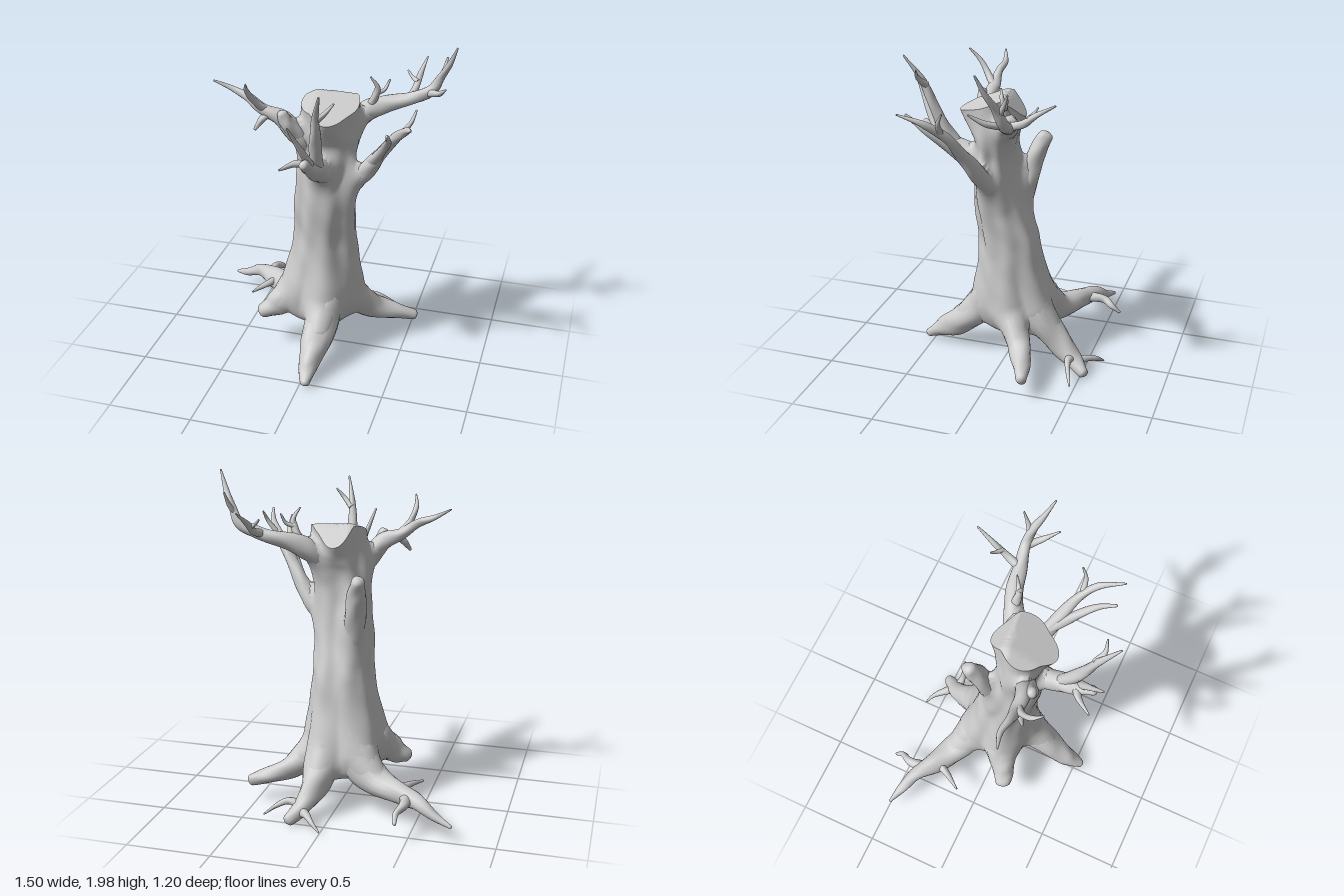
import * as THREE from 'three';

const bark = new THREE.MeshStandardMaterial({ color: 0xcccccc });
const { lerp, clamp, smoothstep } = THREE.MathUtils;

// Skin a list of rings (equal point counts, counter-clockwise around the direction of travel).
function loft(name, rings, closeEnd) {
  const n = rings[0].length, pos = [], idx = [];
  rings.forEach(r => r.forEach(p => pos.push(p.x, p.y, p.z)));
  for (let i = 0; i < rings.length - 1; i++) {
    for (let j = 0; j < n; j++) {
      const a = i * n + j, b = i * n + (j + 1) % n;
      idx.push(a, b, b + n, a, b + n, a + n);
    }
  }
  // a cap with its own vertices keeps a crisp edge
  const cap = (ring, flip) => {
    const start = pos.length / 3;
    const c = ring.reduce((s, p) => s.add(p), new THREE.Vector3()).divideScalar(n);
    [...ring, c].forEach(p => pos.push(p.x, p.y, p.z));
    for (let j = 0; j < n; j++) {
      const a = start + j, b = start + (j + 1) % n;
      if (flip) idx.push(b, a, start + n); else idx.push(a, b, start + n);
    }
  };
  cap(rings[0], true);
  if (closeEnd) cap(rings[rings.length - 1], false);
  const g = new THREE.BufferGeometry();
  g.setAttribute('position', new THREE.Float32BufferAttribute(pos, 3));
  g.setIndex(idx);
  g.computeVertexNormals();
  const m = new THREE.Mesh(g, bark);
  m.name = name;
  return m;
}

// Tapering limb through points [x, y, z, radius].
function limb(name, pts, sides = 16) {
  const curve = new THREE.CatmullRomCurve3(pts.map(p => new THREE.Vector3(p[0], p[1], p[2])));
  const last = pts.length - 1, steps = last * 6, rings = [];
  let N = new THREE.Vector3(0.31, 0.2, 0.93);
  for (let i = 0; i <= steps; i++) {
    const t = i / steps, f = Math.min(t * last, last - 1e-6), k = Math.floor(f);
    const r0 = lerp(pts[k][3], pts[k + 1][3], f - k);
    const c = curve.getPoint(t), T = curve.getTangent(t);
    N = N.clone().addScaledVector(T, -N.dot(T)).normalize();
    const B = T.clone().cross(N);
    const ring = scale => Array.from({ length: sides }, (_, j) => {
      const a = j / sides * Math.PI * 2;
      const r = r0 * scale * (1 + 0.06 * Math.sin(2 * a + i * 0.45) + 0.04 * Math.sin(3 * a - i * 0.7));
      return c.clone().addScaledVector(N, r * Math.cos(a)).addScaledVector(B, r * Math.sin(a));
    });
    rings.push(ring(1));
    // rounded tip
    if (i === steps) {
      [[0.35, 0.85], [0.55, 0.5], [0.62, 0.05]].forEach(([d, s]) =>
        rings.push(ring(s).map(p => p.addScaledVector(T, d * r0))));
    }
  }
  return loft(name, rings, true);
}

// Each limb group: main stem first, then side shoots.
const limbs = {
  frontRoot: [
    [[0.05, 0.66, 0.05, 0.09], [0.05, 0.36, 0.13, 0.11], [0.04, 0.18, 0.31, 0.086], [0.03, 0.095, 0.44, 0.06], [0.04, 0.045, 0.535, 0.026]]],
  leftRoot: [
    [[0.09, 0.6, 0, 0.09], [0.16, 0.36, -0.05, 0.1], [0.29, 0.22, -0.14, 0.072], [0.42, 0.17, -0.2, 0.052], [0.535, 0.135, -0.235, 0.033]]],
  rightFrontRoot: [
    [[-0.04, 0.64, 0, 0.1], [-0.16, 0.4, 0.05, 0.105], [-0.27, 0.285, 0.11, 0.075], [-0.345, 0.245, 0.145, 0.047]]],
  rightBackRoot: [
    [[-0.02, 0.62, -0.05, 0.11], [-0.11, 0.34, -0.16, 0.12], [-0.25, 0.22, -0.235, 0.088], [-0.42, 0.2, -0.33, 0.064], [-0.54, 0.19, -0.41, 0.042], [-0.65, 0.135, -0.455, 0.027], [-0.74, 0.105, -0.49, 0.01]],
    [[-0.46, 0.2, -0.38, 0.035], [-0.465, 0.195, -0.48, 0.026], [-0.435, 0.17, -0.54, 0.018], [-0.44, 0.13, -0.59, 0.01]],
    [[-0.39, 0.21, -0.31, 0.03], [-0.45, 0.21, -0.2, 0.018], [-0.505, 0.2, -0.115, 0.006]]],
  backRoot: [
    [[0.04, 0.66, -0.05, 0.1], [0.08, 0.36, -0.17, 0.12], [0.1, 0.2, -0.31, 0.085], [0.145, 0.1, -0.43, 0.055], [0.205, 0.04, -0.52, 0.034]],
    [[0.16, 0.08, -0.45, 0.035], [0.1, 0.08, -0.51, 0.022], [0.05, 0.06, -0.565, 0.014], [0, 0.025, -0.597, 0.005]],
    [[0.16, 0.1, -0.43, 0.03], [0.23, 0.12, -0.43, 0.02], [0.3, 0.09, -0.45, 0.014], [0.37, 0.04, -0.48, 0.005]]],
  leftUpperBranch: [
    [[0.13, 1.45, 0.03, 0.07], [0.22, 1.55, -0.05, 0.064], [0.33, 1.6, -0.1, 0.05], [0.48, 1.64, -0.13, 0.038], [0.6, 1.7, -0.15, 0.03], [0.65, 1.79, -0.13, 0.023], [0.7, 1.88, -0.09, 0.016], [0.745, 1.99, -0.05, 0.005]],
    [[0.47, 1.64, -0.13, 0.026], [0.49, 1.67, -0.22, 0.021], [0.5, 1.73, -0.3, 0.016], [0.52, 1.8, -0.41, 0.005]],
    [[0.495, 1.7, -0.25, 0.016], [0.46, 1.72, -0.27, 0.01], [0.43, 1.75, -0.29, 0.005]],
    [[0.63, 1.75, -0.14, 0.018], [0.655, 1.81, -0.17, 0.013], [0.67, 1.88, -0.2, 0.005]],
    [[0.58, 1.68, -0.15, 0.024], [0.65, 1.71, -0.07, 0.017], [0.7, 1.765, 0.005, 0.005]],
    [[0.25, 1.58, -0.07, 0.03], [0.29, 1.66, -0.06, 0.022], [0.305, 1.72, -0.05, 0.015], [0.27, 1.785, -0.03, 0.005]],
    [[0.295, 1.68, -0.06, 0.016], [0.34, 1.7, -0.08, 0.011], [0.365, 1.755, -0.1, 0.005]]],
  leftLowerBranch: [
    [[0.13, 1.08, 0.06, 0.06], [0.21, 1.18, 0.075, 0.058], [0.3, 1.29, 0.11, 0.048], [0.38, 1.41, 0.16, 0.037], [0.47, 1.54, 0.22, 0.028], [0.55, 1.63, 0.31, 0.02], [0.6, 1.69, 0.45, 0.005]],
    [[0.32, 1.33, 0.12, 0.035], [0.4, 1.46, 0.24, 0.026], [0.46, 1.57, 0.35, 0.019], [0.475, 1.65, 0.45, 0.008]],
    [[0.5, 1.57, 0.24, 0.018], [0.56, 1.65, 0.23, 0.012], [0.58, 1.71, 0.2, 0.005]]],
  frontBranch: [
    [[0.05, 1.24, 0.11, 0.07], [0.055, 1.3, 0.24, 0.066], [0.05, 1.36, 0.36, 0.052], [0.035, 1.42, 0.45, 0.038], [0.04, 1.46, 0.52, 0.026]],
    [[0.055, 1.33, 0.31, 0.045], [0.07, 1.46, 0.39, 0.037], [0.085, 1.6, 0.45, 0.03], [0.1, 1.73, 0.5, 0.021], [0.145, 1.885, 0.595, 0.005]],
    [[0.1, 1.71, 0.48, 0.02], [0.15, 1.76, 0.51, 0.014], [0.2, 1.82, 0.5, 0.005]],
    [[0.045, 1.41, 0.42, 0.028], [-0.02, 1.43, 0.45, 0.02], [-0.09, 1.425, 0.545, 0.006]],
    [[0.05, 1.43, 0.44, 0.026], [0.02, 1.53, 0.5, 0.018], [-0.03, 1.69, 0.585, 0.005]]],
  rightBranch: [
    [[-0.02, 1.36, 0.1, 0.06], [-0.09, 1.46, 0.16, 0.06], [-0.18, 1.57, 0.19, 0.048], [-0.29, 1.62, 0.2, 0.034], [-0.38, 1.685, 0.2, 0.024], [-0.47, 1.72, 0.19, 0.017], [-0.57, 1.77, 0.22, 0.005]],
    [[-0.1, 1.48, 0.18, 0.05], [-0.145, 1.56, 0.22, 0.042], [-0.17, 1.62, 0.235, 0.028]],
    [[-0.28, 1.62, 0.2, 0.026], [-0.32, 1.68, 0.25, 0.019], [-0.345, 1.76, 0.31, 0.014], [-0.33, 1.825, 0.37, 0.005]],
    [[-0.24, 1.61, 0.2, 0.026], [-0.29, 1.57, 0.22, 0.021], [-0.325, 1.515, 0.25, 0.009]]],
  backStub: [
    [[-0.05, 0.94, -0.04, 0.055], [-0.075, 1.14, -0.08, 0.065], [-0.095, 1.3, -0.13, 0.056], [-0.115, 1.4, -0.175, 0.042]]],
};

// Distance from p to the nearest main stem.
function stemDistance(p) {
  let best = Infinity;
  for (const [stem] of Object.values(limbs)) {
    for (let i = 0; i < stem.length - 1; i++) {
      const [ax, ay, az, ar] = stem[i], [bx, by, bz, br] = stem[i + 1];
      const dx = bx - ax, dy = by - ay, dz = bz - az;
      const s = clamp(((p.x - ax) * dx + (p.y - ay) * dy + (p.z - az) * dz) / (dx * dx + dy * dy + dz * dz), 0, 1);
      const d = Math.hypot(p.x - ax - s * dx, p.y - ay - s * dy, p.z - az - s * dz) - lerp(ar, br, s);
      best = Math.min(best, d);
    }
  }
  return best;
}

// Swell a trunk point outwards so that it flows into the limbs beside it.
function swell(p, dir, amount) {
  const reach = 0.14, q = p.clone();
  let t = 0;
  for (let i = 0; i < 14; i++) {
    const k = 0.09 * (1 - t / reach) + 0.004, d = stemDistance(q) + 0.012 * t / reach;
    const h = Math.max(0, k - Math.abs(t - d)) / k;
    t = clamp(t - 0.8 * (Math.min(t, d) - h * h * k / 4), 0, reach);
    q.copy(p).addScaledVector(dir, t);
  }
  return p.addScaledVector(dir, t * amount);
}

// Trunk sections: y, minimum x, maximum x, minimum z, maximum z.
const sections = [
  [0.19, -0.08, 0.1, -0.16, 0.08], [0.21, -0.18, 0.17, -0.23, 0.15], [0.29, -0.22, 0.21, -0.25, 0.19],
  [0.45, -0.21, 0.22, -0.22, 0.19], [0.6, -0.19, 0.215, -0.19, 0.175], [0.8, -0.16, 0.205, -0.17, 0.18],
  [1.0, -0.145, 0.21, -0.1, 0.2], [1.2, -0.125, 0.205, -0.06, 0.2], [1.4, -0.115, 0.225, -0.05, 0.19],
  [1.52, -0.105, 0.235, -0.07, 0.22], [1.7, -0.095, 0.235, -0.11, 0.28],
];

// Two slopes of the cut top, falling to the front and to the back.
const cutHeight = (x, z) => 1.695 - 0.4 * Math.max(0, z + 0.25 * x - 0.03)
  - 1.2 * Math.max(0, -z - 0.005) - 0.3 * Math.max(0, -x - 0.02);

function trunk() {
  const n = 96, rows = 90, rings = [];
  const curves = [1, 2, 3, 4].map(k =>
    new THREE.SplineCurve(sections.map(s => new THREE.Vector2(s[0], s[k]))));
  for (let i = 0; i <= rows; i++) {
    const t = i / rows, y = curves[0].getPoint(t).x;
    const [x0, x1, z0, z1] = curves.map(c => c.getPoint(t).y);
    const h = smoothstep(y, 1.3, 1.7);
    rings.push(Array.from({ length: n }, (_, j) => {
      const a = j / n * Math.PI * 2;
      // vertical ridges and bumps in the bark, turning four-cornered at the cut
      const w = 1 + (1 - 0.8 * h) * (0.045 * Math.sin(5 * a + 1.6 * y) + 0.03 * Math.sin(8 * a - 2.5 * y + 1)
        + 0.025 * Math.sin(3 * a + 17 * y) * Math.sin(11 * y + 2 * a)) - 0.07 * h * (1 - Math.cos(4 * (a - 0.15)));
      const x = (x0 + x1) / 2 + (x1 - x0) / 2 * w * Math.sin(a);
      const z = (z0 + z1) / 2 + (z1 - z0) / 2 * w * Math.cos(a);
      const dir = new THREE.Vector3(Math.sin(a), 0, Math.cos(a));
      return swell(new THREE.Vector3(x, y + (cutHeight(x, z) - 1.7) * h, z), dir, 1 - smoothstep(y, 1.58, 1.69));
    }));
  }
  // the cap steps inwards so its crease shows
  const capRings = [1, 0.85, 0.7, 0.55, 0.4, 0.25, 0.1, 0.01].map(s => rings[rows].map(p => {
    const x = lerp(0.07, p.x, s), z = lerp(0.06, p.z, s);
    return new THREE.Vector3(x, s === 1 ? p.y : cutHeight(x, z), z);
  }));
  const g = new THREE.Group();
  g.name = 'trunk';
  g.add(loft('trunkBark', rings, false), loft('trunkCut', capRings, true));
  return g;
}

export function createModel() {
  const tree = new THREE.Group();
  tree.name = 'tree';
  tree.add(trunk());
  for (const [name, stems] of Object.entries(limbs)) {
    const g = new THREE.Group();
    g.name = name;
    stems.forEach((pts, i) => g.add(limb(i ? `${name}Shoot${i}` : `${name}Stem`, pts)));
    tree.add(g);
  }
  return tree;
}
